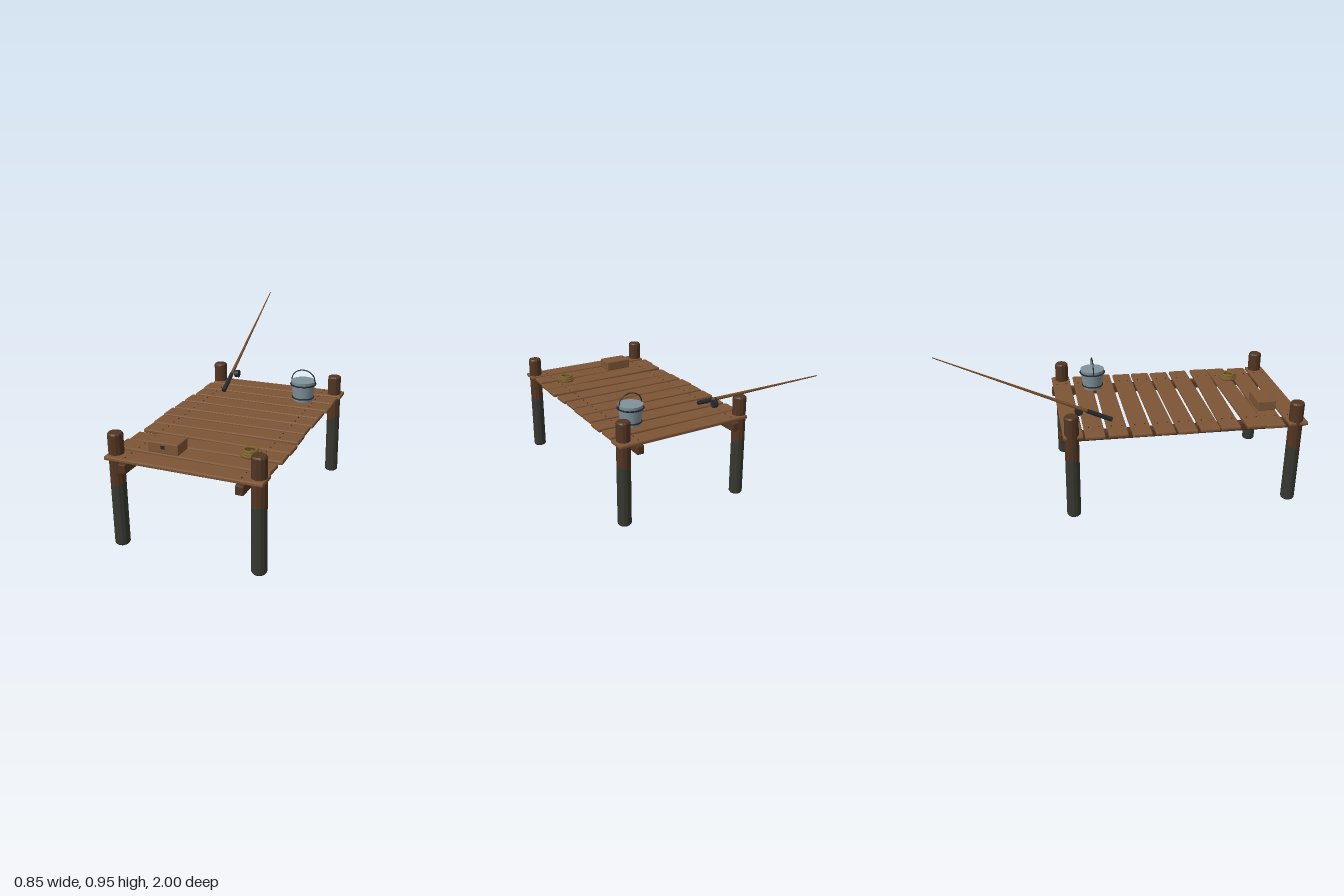
import * as THREE from 'three';
import { RoundedBoxGeometry } from 'three/addons/geometries/RoundedBoxGeometry.js';

const mat = (name, color, extra = {}) => {
  const m = new THREE.MeshStandardMaterial({ color, ...extra });
  m.name = name;
  return m;
};

export function createModel() {
  const M = {
    plank: mat('plankWood', 0x7d5535, { flatShading: true }),
    post: mat('darkWood', 0x523522, { flatShading: true }),
    wet: mat('wetWood', 0x36382f, { flatShading: true }),
    metal: mat('bucketMetal', 0x80929c),
    iron: mat('iron', 0x26292c),
    rope: mat('rope', 0x7c602c),
    rod: mat('rodWood', 0x7a4f2b),
  };
  const root = new THREE.Group();
  root.name = 'fishingDock';
  const add = (parent, name, geo, m, x = 0, y = 0, z = 0) => {
    const mesh = new THREE.Mesh(geo, m);
    mesh.name = name;
    mesh.position.set(x, y, z);
    parent.add(mesh);
    return mesh;
  };
  const group = (name, x = 0, y = 0, z = 0) => {
    const g = new THREE.Group();
    g.name = name;
    g.position.set(x, y, z);
    root.add(g);
    return g;
  };

  // Posts: bevelled, with an uneven waterline shared by the wet and dry halves
  const R = 0.039, LINE = 0.345;
  const lathe = (pts, phase) => {
    const geo = new THREE.LatheGeometry(pts.map(p => new THREE.Vector2(...p)), 12);
    const p = geo.attributes.position;
    for (let i = 0; i < p.count; i++) {
      if (Math.abs(p.getY(i) - LINE) < 1e-4) {
        p.setY(i, LINE + 0.016 * Math.sin(Math.atan2(p.getZ(i), p.getX(i)) + phase));
      }
    }
    geo.computeVertexNormals();
    return geo;
  };
  [[-0.376, 0.925, 2.5], [0.373, 0.925, 0.5], [-0.376, -0.317, 4], [0.373, -0.317, 1.5]].forEach(([x, z, phase]) => {
    const post = group('post', x, 0, z);
    add(post, 'postWetBase', lathe([[0, 0], [R - 0.006, 0], [R, 0.008], [R, LINE]], phase), M.wet);
    add(post, 'postDryTop', lathe([[R, LINE], [R, 0.602], [R - 0.006, 0.61], [0, 0.61]], phase), M.post);
  });

  // Beams under the deck
  for (const x of [-0.307, 0.304]) {
    add(root, 'beam', new RoundedBoxGeometry(0.043, 0.05, 1.384, 1, 0.006), M.post, x, 0.454, 0.308);
  }

  // Deck planks: [x offset, z, turn], each with four nails
  const plankGeo = new RoundedBoxGeometry(0.826, 0.021, 0.108, 1, 0.006);
  const nailGeo = new THREE.CylinderGeometry(0.004, 0.004, 0.003, 6);
  [
    [0.01, -0.317, 0.02], [0, -0.193, 0.002], [0.005, -0.067, 0], [-0.005, 0.06, 0.003],
    [-0.005, 0.183, 0.013], [-0.01, 0.304, 0.013], [-0.003, 0.43, 0.013], [0.003, 0.557, -0.016],
    [0, 0.685, 0.024], [-0.01, 0.804, -0.013], [0, 0.931, 0],
  ].forEach(([x, z, turn]) => {
    const g = group('plank', x, 0.4895, z);
    g.rotation.y = turn;
    add(g, 'board', plankGeo, M.plank);
    for (const sx of [-0.305, 0.302]) {
      for (const sz of [-0.028, 0.028]) add(g, 'nail', nailGeo, M.iron, sx - x, 0.011, sz);
    }
  });

  // Small tackle box with a latch on the front
  const box = group('tackleBox', -0.157, 0.5, 0.803);
  add(box, 'boxBody', new RoundedBoxGeometry(0.166, 0.058, 0.106, 1, 0.005), M.plank, 0, 0.029, 0);
  add(box, 'latch', new THREE.BoxGeometry(0.022, 0.017, 0.006), M.iron, 0, 0.034, 0.054);

  // Bucket with two hoops and an arched handle
  const bucket = group('bucket', 0.233, 0.5, -0.14);
  add(bucket, 'bucketBody', new THREE.CylinderGeometry(0.072, 0.057, 0.12, 20), M.metal, 0, 0.06, 0);
  const hoop = (r, y) => {
    add(bucket, 'hoop', new THREE.TorusGeometry(r, 0.0045, 6, 24), M.iron, 0, y, 0).rotation.x = Math.PI / 2;
  };
  hoop(0.073, 0.1);
  hoop(0.061, 0.02);
  const arc = [new THREE.Vector3(-0.073, 0.1, 0)];
  for (let i = 0; i <= 10; i++) {
    const a = Math.PI * (1 - i / 10);
    arc.push(new THREE.Vector3(0.07 * Math.cos(a), 0.122 + 0.06 * Math.sin(a), 0));
  }
  arc.push(new THREE.Vector3(0.073, 0.1, 0));
  add(bucket, 'handle', new THREE.TubeGeometry(new THREE.CatmullRomCurve3(arc), 28, 0.0033, 6), M.iron);

  // Coil of rope
  const coil = group('ropeCoil', 0.247, 0.5, 0.715);
  [[0.045, 0.008, 0], [0.042, 0.019, 0.003], [0.034, 0.029, -0.002]].forEach(([r, y, dx]) => {
    add(coil, 'ropeLoop', new THREE.TorusGeometry(r, 0.0085, 6, 18), M.rope, dx, y, 0).rotation.x = Math.PI / 2;
  });

  // Fishing rod leaning out over the back, built between two points
  const rod = group('fishingRod');
  const butt = new THREE.Vector3(-0.253, 0.514, -0.085);
  const tip = new THREE.Vector3(-0.294, 0.945, -0.998);
  const taper = (name, t0, t1, r0, r1, m) => {
    const a = butt.clone().lerp(tip, t0), b = butt.clone().lerp(tip, t1);
    const mesh = add(rod, name, new THREE.CylinderGeometry(r1, r0, a.distanceTo(b), 10), m);
    mesh.position.copy(a).lerp(b, 0.5);
    mesh.quaternion.setFromUnitVectors(new THREE.Vector3(0, 1, 0), b.sub(a).normalize());
  };
  taper('grip', 0, 0.15, 0.0135, 0.0125, M.iron);
  taper('rodShaft', 0.14, 1, 0.0105, 0.0025, M.rod);
  const reel = add(rod, 'reel', new THREE.CylinderGeometry(0.023, 0.023, 0.024, 12), M.iron, -0.24, 0.57, -0.265);
  reel.rotation.z = Math.PI / 2;
  add(rod, 'reelFoot', new THREE.BoxGeometry(0.01, 0.03, 0.014), M.iron, -0.256, 0.587, -0.258);

  return root;
}
